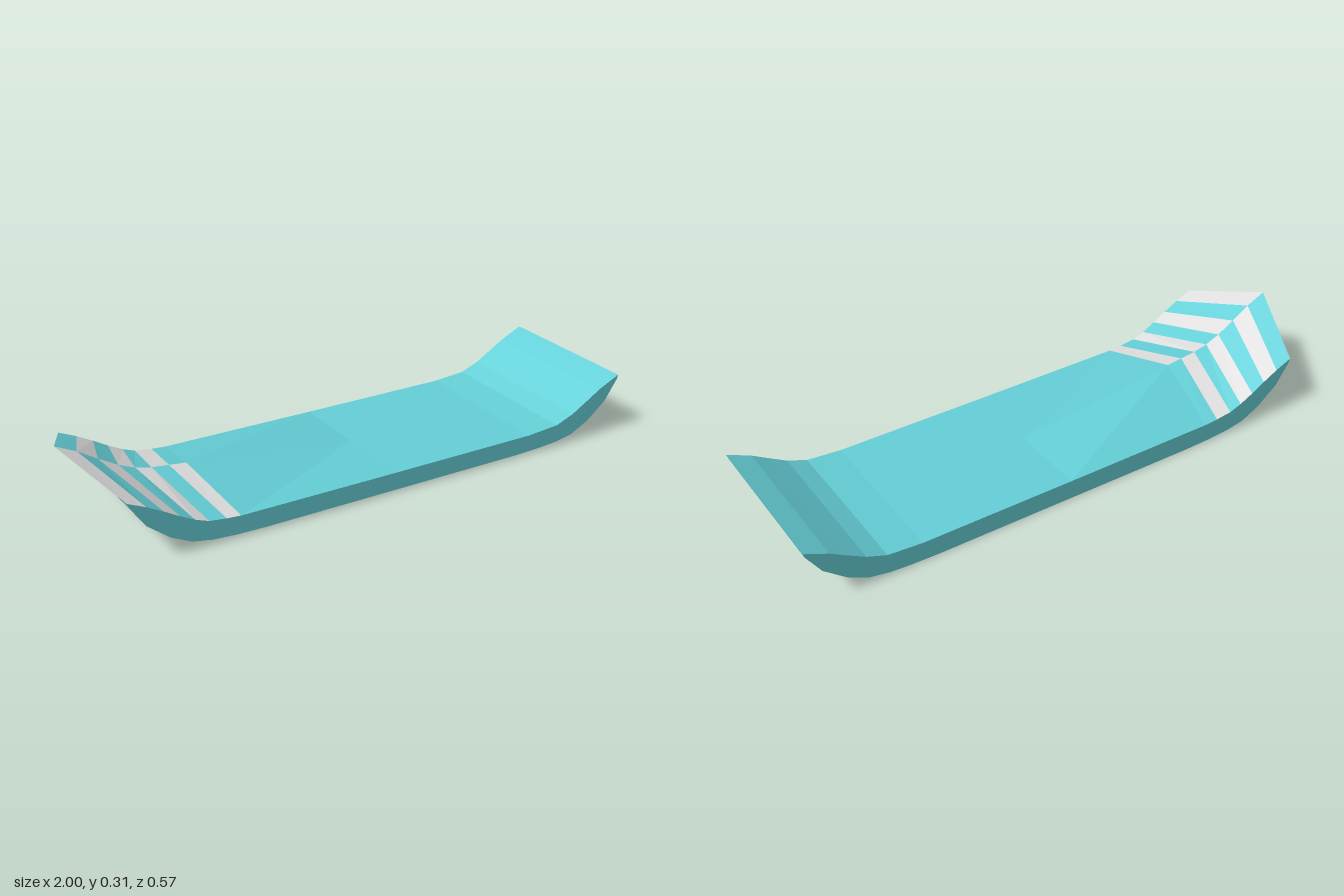
import * as THREE from 'three';

const W = 0.285;
// Upturned end profiles [x, y]; the other end mirrors them, set back by BOW
const BOW = 0.11;
const TOP = [[0.05, 0.073], [0.607, 0.073], [0.73, 0.083], [0.8, 0.11], [0.863, 0.147], [0.917, 0.18], [1, 0.218]];
const BOTTOM = [[0.55, 0.006], [0.65, 0.009], [0.73, 0.015], [0.8, 0.029], [0.87, 0.065], [0.945, 0.127], [0.995, 0.203], [1, 0.218]];
// Centre ridge of the raised bow
const RIDGE = [[-1, 0.314], [-0.93, 0.28], [-0.865, 0.238], [-0.8, 0.2], [-0.745, 0.176], [-0.69, 0.163], [-0.63, 0.156], [-0.57, 0.149]];
// Where each chevron line meets the side edges
const EDGE_X = [-0.89, -0.83, -0.775, -0.725, -0.675, -0.63, -0.57, -0.52];

function lerpProfile(p, x) {
  for (let i = 1; i < p.length; i++) {
    if (x <= p[i][0]) {
      const t = (x - p[i - 1][0]) / (p[i][0] - p[i - 1][0]);
      return p[i - 1][1] + t * (p[i][1] - p[i - 1][1]);
    }
  }
  return p[p.length - 1][1];
}

// Flat-faced geometry from polygons of three or four corners
function faces(polys) {
  const pos = [];
  for (const p of polys) {
    for (let i = 1; i < p.length - 1; i++) pos.push(...p[0], ...p[i], ...p[i + 1]);
  }
  const g = new THREE.BufferGeometry();
  g.setAttribute('position', new THREE.Float32BufferAttribute(pos, 3));
  g.computeVertexNormals();
  return g;
}

export function createModel() {
  const group = new THREE.Group();
  const teal = new THREE.MeshStandardMaterial({ color: 0x66d0d8, flatShading: true });
  teal.name = 'teal';
  const pale = new THREE.MeshStandardMaterial({ color: 0xdedede, flatShading: true });
  pale.name = 'pale grey';
  const add = (name, geo, mat) => {
    const m = new THREE.Mesh(geo, mat);
    m.name = name;
    group.add(m);
  };

  const edge = EDGE_X.map((x) => [x, lerpProfile(TOP, BOW - x)]);
  // Full lower outline; the underside leans slightly lower at the back
  const lower = [...BOTTOM.map(([x, y]) => [BOW - x, y]).reverse(), ...BOTTOM];
  const lowY = (y, side) => y + side * 0.004 * Math.max(0, 1 - y / 0.218);

  // Chevron stripes, alternating across the ridge
  const stripes = { teal: [], pale: [] };
  const panel = (side, e0, e1, c1, c0) => {
    const p = [[e0[0], e0[1], side * W], [e1[0], e1[1], side * W], [c1[0], c1[1], 0], [c0[0], c0[1], 0]];
    return side > 0 ? p : p.reverse();
  };
  for (const side of [1, -1]) {
    for (let i = 0; i < edge.length - 1; i++) {
      const isPale = (i % 2 === 0) === (side > 0);
      stripes[isPale ? 'pale' : 'teal'].push(panel(side, edge[i], edge[i + 1], RIDGE[i + 1], RIDGE[i]));
    }
  }
  add('bowStripesTeal', faces(stripes.teal), teal);
  add('bowStripesPale', faces(stripes.pale), pale);

  // Ridge tapering down into the flat deck
  add('ridgeTaper', faces([1, -1].map((s) => panel(s, edge[7], TOP[0], TOP[0], RIDGE[7]))), teal);

  // Flat deck and upturned stern
  const deck = [];
  for (let i = 0; i < TOP.length - 1; i++) {
    const [x0, y0] = TOP[i], [x1, y1] = TOP[i + 1];
    deck.push([[x0, y0, W], [x1, y1, W], [x1, y1, -W], [x0, y0, -W]]);
  }
  add('deck', faces(deck), teal);

  // Underside
  const under = [];
  for (let i = 0; i < lower.length - 1; i++) {
    const [x0, y0] = lower[i], [x1, y1] = lower[i + 1];
    under.push([[x0, lowY(y0, -1), -W], [x1, lowY(y1, -1), -W], [x1, lowY(y1, 1), W], [x0, lowY(y0, 1), W]]);
  }
  add('underside', faces(under), teal);

  // Pointed bow end
  const [bx, by] = edge[0];
  add('bowPoint', faces([[[bx, by, -W], [bx, by, W], [RIDGE[0][0], RIDGE[0][1], 0]]]), teal);

  // Side walls
  const sideMat = teal.clone();
  sideMat.side = THREE.DoubleSide;
  for (const side of [1, -1]) {
    const outline = [
      ...lower.map(([x, y]) => new THREE.Vector2(x, lowY(y, side))),
      ...[...edge.slice(1), ...TOP.slice(0, -1)].reverse().map(([x, y]) => new THREE.Vector2(x, y)),
    ];
    const geo = new THREE.ShapeGeometry(new THREE.Shape(outline));
    if (side < 0) {
      // Face the back wall outward
      const idx = geo.index.array;
      for (let i = 0; i < idx.length; i += 3) [idx[i], idx[i + 1]] = [idx[i + 1], idx[i]];
      geo.computeVertexNormals();
    }
    geo.translate(0, 0, side * W);
    add(side > 0 ? 'frontSide' : 'backSide', geo, teal);
  }
  return group;
}
